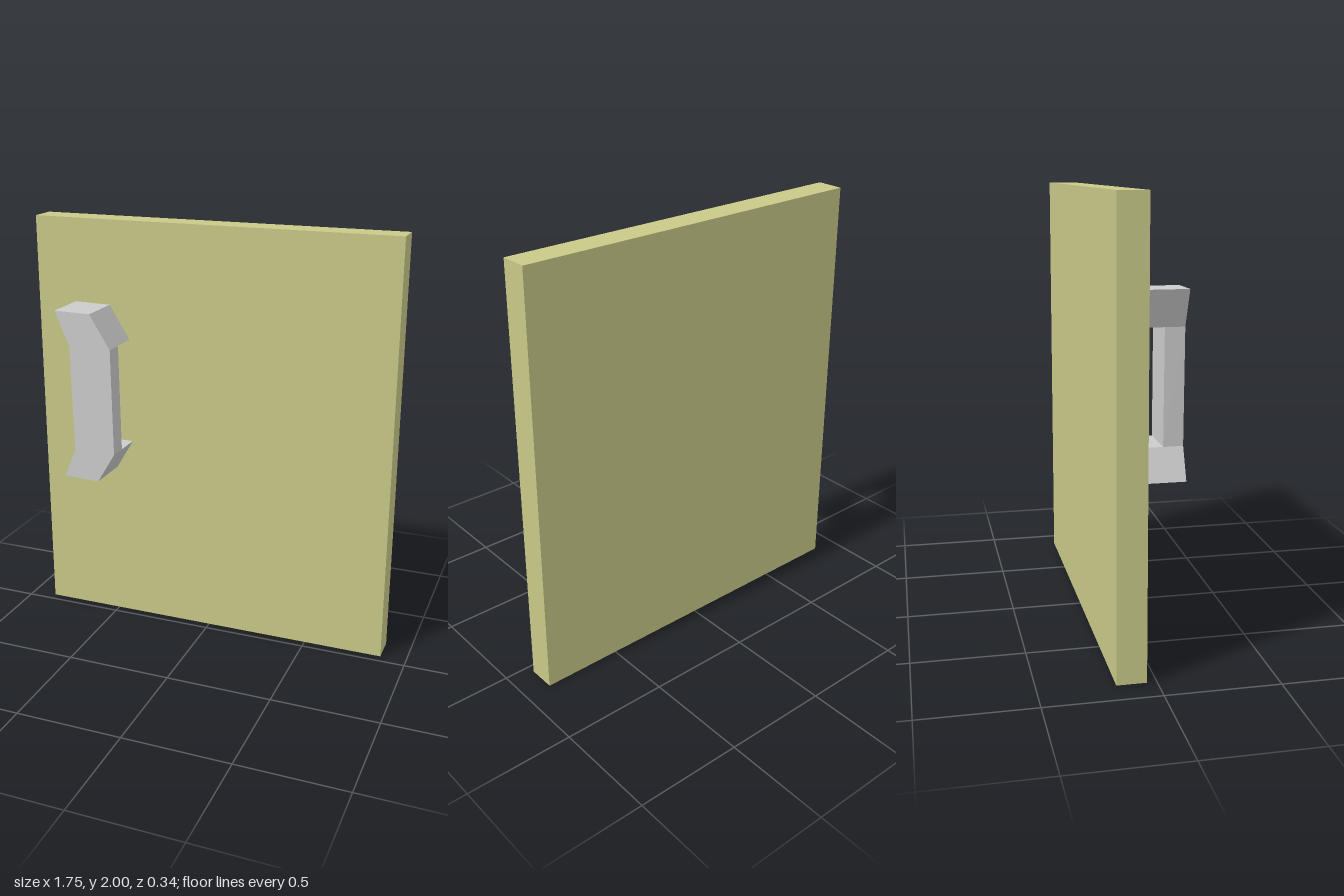
import * as THREE from 'three';

const PANEL_BACK = -0.172, PANEL_FRONT = -0.042, HANDLE_FRONT = 0.172, GRIP_BACK = 0.085;

export function createModel() {
  const model = new THREE.Group();
  model.name = 'door';

  // Door panel
  const depth = PANEL_FRONT - PANEL_BACK;
  const panel = new THREE.Mesh(
    new THREE.BoxGeometry(1.755, 2, depth),
    new THREE.MeshStandardMaterial({ color: 0xc8c987 })
  );
  panel.name = 'doorPanel';
  panel.position.set(0, 1, PANEL_BACK + depth / 2);
  model.add(panel);

  // Pull handle: a bent bar standing off the panel on two slanted feet
  const handle = new THREE.Group();
  handle.name = 'handle';
  model.add(handle);
  const grey = new THREE.MeshStandardMaterial({ color: 0xcccccc, flatShading: true });

  function addBlock(name, corners, back) {
    const shape = new THREE.Shape(corners.map(([x, y]) => new THREE.Vector2(x, y)));
    const geometry = new THREE.ExtrudeGeometry(shape, { depth: HANDLE_FRONT - back, bevelEnabled: false });
    geometry.translate(0, 0, back);
    const mesh = new THREE.Mesh(geometry, grey);
    mesh.name = name;
    handle.add(mesh);
  }

  // Left and right corners of the bar at each bend, from top to bottom
  const rows = [
    [[-0.683, 1.603], [-0.505, 1.6]],
    [[-0.614, 1.44], [-0.406, 1.44]],
    [[-0.605, 0.93], [-0.4, 0.93]],
    [[-0.665, 0.79], [-0.488, 0.784]],
  ];
  const backs = [PANEL_FRONT, GRIP_BACK, PANEL_FRONT];
  ['upperFoot', 'grip', 'lowerFoot'].forEach((name, i) => {
    const [a, b] = rows[i], [c, d] = rows[i + 1];
    addBlock(name, [a, c, d, b], backs[i]);
  });

  return model;
}
